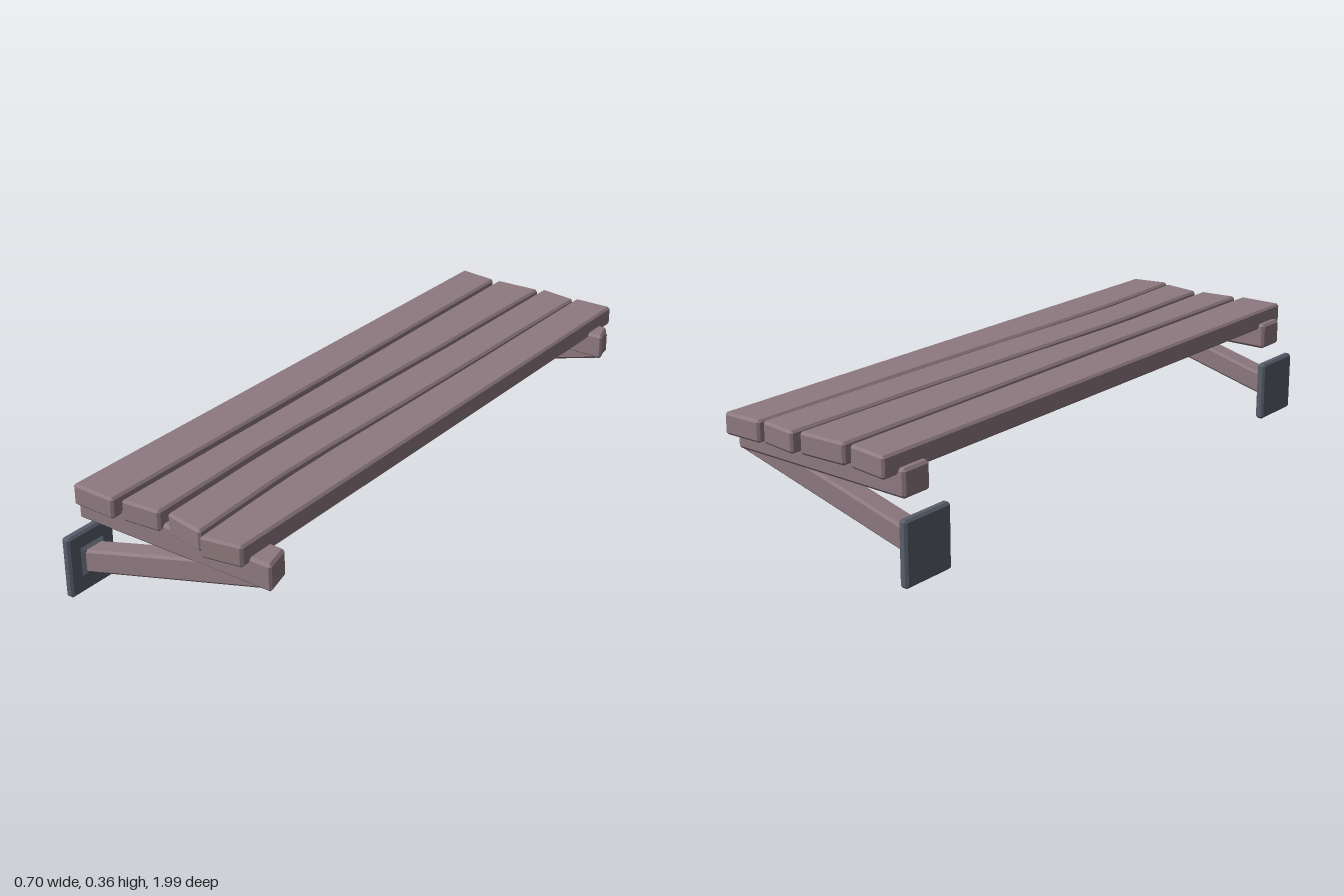
import * as THREE from 'three';

const wood = new THREE.MeshStandardMaterial({ color: 0x8e7a80 });
const metal = new THREE.MeshStandardMaterial({ color: 0x585e6c });

// Chamfered bar lofted through rows [leftX, leftZ, rightX, rightZ, bottomY, topY].
function bar(name, rows, b, material) {
  const mid = (r) => new THREE.Vector3((r[0] + r[2]) / 2, (r[4] + r[5]) / 2, (r[1] + r[3]) / 2);
  const ring = (r, inset, shift) => {
    const [lx, lz, rx, rz, y0, y1] = r;
    const w = Math.hypot(rx - lx, rz - lz), h = y1 - y0;
    const octagon = [[b, 0], [w - b, 0], [w, b], [w, h - b], [w - b, h], [b, h], [0, h - b], [0, b]];
    return octagon.map(([u, v]) => {
      if (inset) {
        u = THREE.MathUtils.clamp(u, b, w - b);
        v = THREE.MathUtils.clamp(v, b, h - b);
      }
      const t = u / w;
      return new THREE.Vector3(lx + (rx - lx) * t, y0 + v, lz + (rz - lz) * t).add(shift);
    });
  };
  const n = rows.length, none = new THREE.Vector3();
  const startDir = mid(rows[1]).sub(mid(rows[0])).setLength(b);
  const endDir = mid(rows[n - 2]).sub(mid(rows[n - 1])).setLength(b);
  const rings = [ring(rows[0], true, none)];
  rows.forEach((r, i) => rings.push(ring(r, false, i === 0 ? startDir : i === n - 1 ? endDir : none)));
  rings.push(ring(rows[n - 1], true, none));

  const pos = [];
  const tri = (p, q, r) => {
    const area = q.clone().sub(p).cross(r.clone().sub(p)).length();
    if (area > 1e-9) for (const v of [p, q, r]) pos.push(v.x, v.y, v.z);
  };
  for (let i = 0; i < rings.length - 1; i++) {
    for (let j = 0; j < 8; j++) {
      const k = (j + 1) % 8, A = rings[i], B = rings[i + 1];
      tri(A[j], A[k], B[k]);
      tri(A[j], B[k], B[j]);
    }
  }
  const first = rings[0], last = rings[rings.length - 1];
  for (let j = 1; j < 7; j++) {
    tri(first[0], first[j + 1], first[j]);
    tri(last[0], last[j], last[j + 1]);
  }
  const geometry = new THREE.BufferGeometry();
  geometry.setAttribute('position', new THREE.Float32BufferAttribute(pos, 3));
  geometry.computeVertexNormals();
  const mesh = new THREE.Mesh(geometry, material);
  mesh.name = name;
  return mesh;
}

export function createModel() {
  const model = new THREE.Group();
  model.name = 'wallBench';

  // Uneven seat planks: rows of [leftX, leftZ, rightX, rightZ]
  const planks = [
    [[-0.31, -1, -0.175, -0.98], [-0.31, 0, -0.168, 0], [-0.31, 0.974, -0.162, 0.978]],
    [[-0.157, -0.982, 0, -0.986], [-0.152, -0.4, -0.006, -0.4], [-0.146, 0, -0.016, 0],
      [-0.143, 0.3, -0.027, 0.3], [-0.143, 0.5, -0.029, 0.5], [-0.142, 0.7, -0.022, 0.7],
      [-0.141, 0.967, -0.015, 0.957]],
    [[0.014, -1, 0.142, -0.98], [0.01, -0.4, 0.137, -0.4], [0.002, 0, 0.132, 0],
      [-0.006, 0.4, 0.122, 0.4], [-0.004, 0.6, 0.121, 0.6], [0.002, 0.78, 0.13, 0.78],
      [0.008, 0.95, 0.14, 0.975]],
    [[0.148, -0.99, 0.28, -0.99], [0.147, -0.4, 0.28, -0.4], [0.143, 0, 0.28, 0],
      [0.137, 0.4, 0.28, 0.4], [0.138, 0.6, 0.28, 0.6], [0.145, 0.78, 0.28, 0.78],
      [0.155, 0.996, 0.28, 0.975]],
  ];
  planks.forEach((rows, i) =>
    model.add(bar('seatPlank' + (i + 1), rows.map((r) => [...r, 0.298, 0.362]), 0.007, wood)));

  // Two brackets: cross beam, diagonal strut, collar and wall plate
  const brackets = [
    { name: 'frontBracket', plateZ: 0.905, strutZ: 0.906,
      beam: [[-0.33, 0.94, -0.33, 0.84], [0.35, 0.947, 0.325, 0.853]] },
    { name: 'backBracket', plateZ: -0.878, strutZ: -0.877,
      beam: [[-0.33, -0.842, -0.33, -0.945], [0.332, -0.838, 0.305, -0.922]] },
  ];
  for (const { name, plateZ, strutZ, beam } of brackets) {
    const bracket = new THREE.Group();
    bracket.name = name;
    const row = (x, z, half, y0, y1) => [x, z + half, x, z - half, y0, y1];
    bracket.add(
      bar('crossBeam', beam.map((r) => [...r, 0.235, 0.317]), 0.008, wood),
      bar('diagonalStrut', [row(-0.325, strutZ, 0.036, 0.061, 0.133),
        row(0.315, strutZ, 0.036, 0.234, 0.306)], 0.007, wood),
      bar('wallPlate', [row(-0.353, plateZ, 0.09, 0, 0.19),
        row(-0.325, plateZ, 0.09, 0, 0.19)], 0.007, metal),
    );
    // Flared collar where the strut meets the plate
    const collar = new THREE.Mesh(
      new THREE.CylinderGeometry(0.036 * Math.SQRT2, 0.045 * Math.SQRT2, 0.011, 4)
        .rotateY(Math.PI / 4).rotateZ(-Math.PI / 2).toNonIndexed(), metal);
    collar.geometry.computeVertexNormals();
    collar.name = 'strutCollar';
    collar.position.set(-0.32, 0.099, strutZ);
    bracket.add(collar);
    model.add(bracket);
  }
  return model;
}
